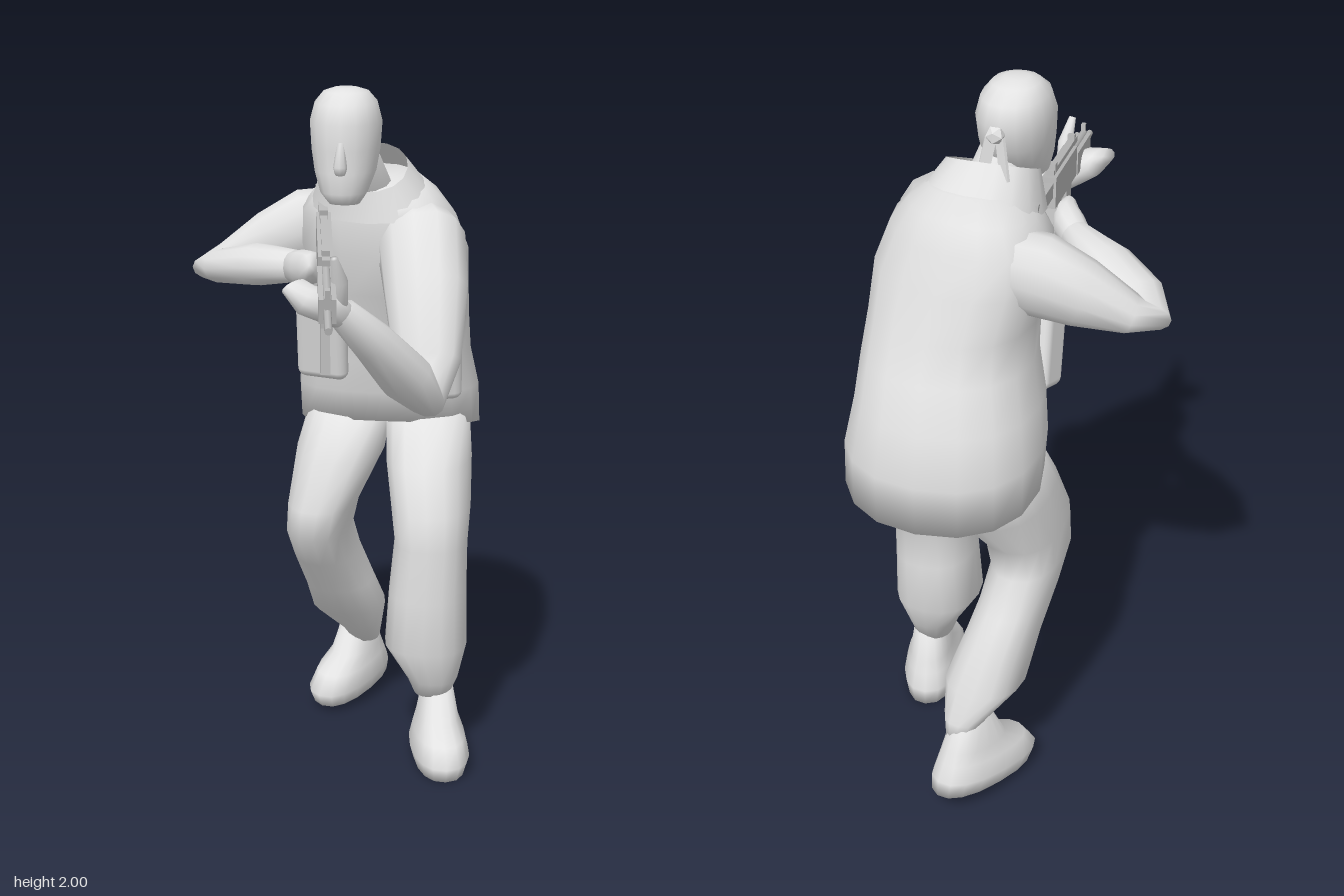
import * as THREE from 'three';
import { RoundedBoxGeometry } from 'three/addons/geometries/RoundedBoxGeometry.js';

const V = (x, y, z) => new THREE.Vector3(x, y, z);
const cloth = new THREE.MeshStandardMaterial({ color: 0xe2e2e2, side: THREE.DoubleSide });
cloth.name = 'light grey';
const metal = new THREE.MeshStandardMaterial({ color: 0xb8b8b8 });
metal.name = 'mid grey';

// Skins a list of equal-length rings (counter-clockwise about the path), with optional end caps
function skin(rings, caps = true) {
  const n = rings[0].length, pos = [], idx = [];
  rings.forEach(r => r.forEach(p => pos.push(p.x, p.y, p.z)));
  for (let i = 0; i < rings.length - 1; i++)
    for (let j = 0; j < n; j++) {
      const a = i * n + j, b = i * n + (j + 1) % n;
      idx.push(a, b, b + n, a, b + n, a + n);
    }
  if (caps) [0, rings.length - 1].forEach(k => {
    const c = rings[k].reduce((s, p) => s.add(p), V(0, 0, 0)).divideScalar(n);
    const ci = pos.length / 3;
    pos.push(c.x, c.y, c.z);
    for (let j = 0; j < n; j++) {
      const a = k * n + j, b = k * n + (j + 1) % n;
      if (k) idx.push(ci, a, b); else idx.push(ci, b, a);
    }
  });
  const g = new THREE.BufferGeometry();
  g.setAttribute('position', new THREE.Float32BufferAttribute(pos, 3));
  g.setIndex(idx);
  g.computeVertexNormals();
  return g;
}
const bend = (v, e) => Math.sign(v) * Math.pow(Math.abs(v), e);

// Level rings from bottom to top: [y, xMin, xMax, zFront, zBack, tilt, twist]
function stack(rows, e = 0.85, caps = true, n = 16) {
  return skin(rows.map(([y, x0, x1, zf, zb, tilt = 0, twist = 0]) =>
    Array.from({ length: n }, (_, j) => {
      const a = j / n * Math.PI * 2;
      const dx = bend(Math.sin(a), e) * (x1 - x0) / 2;
      const dz = bend(Math.cos(a), e) * (zf - zb) / 2;
      return V((x0 + x1) / 2 + dx, y + tilt * dz, (zf + zb) / 2 + dz + twist * dx);
    })), caps);
}

// Rings along a path: [x, y, z, half width, half height]
function limb(rows, e = 0.9, ref = V(0, 1, 0), n = 12) {
  const p = rows.map(r => V(r[0], r[1], r[2]));
  return skin(rows.map((r, i) => {
    const t = p[Math.min(i + 1, p.length - 1)].clone().sub(p[Math.max(i - 1, 0)]).normalize();
    const s = ref.clone().cross(t).normalize(), u = t.clone().cross(s);
    return Array.from({ length: n }, (_, j) => {
      const a = j / n * Math.PI * 2;
      return p[i].clone().addScaledVector(s, bend(Math.cos(a), e) * r[3]).addScaledVector(u, bend(Math.sin(a), e) * r[4]);
    });
  }));
}

function add(group, name, geo, mat, pos, rot) {
  const m = new THREE.Mesh(geo, mat);
  m.name = name;
  if (pos) m.position.set(...pos);
  if (rot) m.rotation.set(...rot);
  group.add(m);
  return m;
}

function buildRifle() {
  const g = new THREE.Group();
  g.name = 'rifle';
  const box = (name, w, h, d, x, y, z, rx = 0) =>
    add(g, name, new THREE.BoxGeometry(w, h, d), metal, [x, y, z], [rx, 0, 0]);
  const rod = (name, r, z0, z1, y) =>
    add(g, name, new THREE.CylinderGeometry(r, r, z1 - z0, 8), metal, [0, y, (z0 + z1) / 2], [Math.PI / 2, 0, 0]);
  rod('barrel', 0.01, 0.3, 0.45, 0);
  rod('gasTube', 0.011, 0.1, 0.33, 0.03);
  box('handguard', 0.045, 0.065, 0.23, 0, 0, 0.21);
  box('receiver', 0.04, 0.085, 0.34, 0, 0.012, -0.08);
  box('topRail', 0.02, 0.016, 0.38, 0, 0.06, -0.04);
  box('rearSight', 0.022, 0.025, 0.03, 0, 0.07, -0.2);
  box('middleSight', 0.02, 0.025, 0.02, 0, 0.07, 0.11);
  box('frontSight', 0.012, 0.06, 0.02, 0, 0.03, 0.325);
  box('stockArm', 0.025, 0.04, 0.2, 0, 0.02, -0.34);
  box('buttPlate', 0.035, 0.1, 0.08, 0, 0, -0.46);
  box('grip', 0.03, 0.11, 0.045, 0, -0.075, -0.18, 0.3);
  box('triggerGuard', 0.012, 0.008, 0.09, 0, -0.06, -0.11);
  box('upperMagazine', 0.026, 0.14, 0.08, 0, -0.1, 0.015, -0.08);
  box('lowerMagazine', 0.026, 0.13, 0.075, 0, -0.225, 0.04, -0.28);
  g.position.set(0.013, 1.58, 0.25);
  g.lookAt(0.158, 1.415, 1.25);
  return g;
}

export function createModel() {
  const man = new THREE.Group();
  man.name = 'crouchingMan';

  // Jacket, leaning forward, with the hem higher at the front and the left shoulder leading
  add(man, 'jacket', stack([
    [0.97, -0.14, 0.4, -0.19, -0.635, 0.24],
    [1.09, -0.145, 0.395, -0.165, -0.647, 0.1],
    [1.21, -0.13, 0.37, -0.14, -0.62],
    [1.32, -0.1, 0.365, -0.12, -0.56],
    [1.42, -0.095, 0.365, -0.07, -0.515, 0, 0.08],
    [1.54, -0.125, 0.365, -0.04, -0.478, 0, 0.16],
    [1.64, -0.12, 0.33, -0.035, -0.44, 0, 0.2],
    [1.695, -0.08, 0.28, -0.045, -0.405, -0.12, 0.2],
    [1.735, -0.03, 0.225, -0.07, -0.345, -0.2, 0.12],
  ], 0.9), cloth);
  add(man, 'collar', stack([
    [1.68, -0.08, 0.27, -0.02, -0.36, -0.25, 0.1],
    [1.775, -0.045, 0.195, -0.03, -0.265, -0.45],
  ], 0.9, false), cloth);

  // Head
  add(man, 'neck', limb([[0.09, 1.64, -0.24, 0.08, 0.08], [0.045, 1.82, -0.1, 0.07, 0.075]], 1, V(0, 0, 1)), cloth);
  add(man, 'head', stack([
    [1.695, -0.01, 0.075, 0.02, -0.06],
    [1.725, -0.037, 0.095, 0.036, -0.11],
    [1.78, -0.057, 0.115, 0.036, -0.18],
    [1.84, -0.068, 0.124, 0.034, -0.22],
    [1.91, -0.073, 0.128, 0.035, -0.235],
    [1.96, -0.06, 0.115, 0.012, -0.215],
    [1.99, -0.035, 0.09, -0.03, -0.17],
    [2.0, -0.005, 0.06, -0.065, -0.13],
  ], 0.95), cloth);
  add(man, 'nose', limb([
    [0.027, 1.78, 0.03, 0.015, 0.012], [0.027, 1.8, 0.035, 0.019, 0.02], [0.027, 1.865, 0.025, 0.01, 0.012],
  ], 1, V(0, 0, 1), 8), cloth);
  add(man, 'knot', new THREE.IcosahedronGeometry(0.026, 0), cloth, [0.035, 1.895, -0.24]);
  [-1, 1].forEach(s => add(man, 'knotTail', new THREE.BoxGeometry(0.03, 0.11, 0.008), cloth,
    [0.035 + s * 0.022, 1.835, -0.25], [0.1, s * 0.5, s * 0.2]));

  // Left arm, supporting the rifle
  add(man, 'leftSleeve', limb([
    [0.2, 1.62, -0.22, 0.085, 0.09], [0.24, 1.575, -0.09, 0.115, 0.125], [0.265, 1.465, 0.04, 0.095, 0.118],
    [0.28, 1.3, 0.16, 0.065, 0.095], [0.275, 1.215, 0.215, 0.055, 0.065], [0.23, 1.285, 0.265, 0.065, 0.078],
    [0.15, 1.4, 0.35, 0.055, 0.06], [0.075, 1.49, 0.41, 0.04, 0.042],
  ], 0.95, V(1, 0, 0.3)), cloth);
  add(man, 'leftHand', limb([
    [0.085, 1.475, 0.4, 0.035, 0.035], [0.04, 1.51, 0.43, 0.05, 0.045],
    [-0.01, 1.53, 0.45, 0.055, 0.04], [-0.045, 1.56, 0.43, 0.045, 0.022],
  ]), cloth);
  add(man, 'leftThumb', limb([
    [0.07, 1.5, 0.42, 0.024, 0.024], [0.075, 1.58, 0.45, 0.022, 0.022], [0.065, 1.645, 0.485, 0.01, 0.01],
  ], 1, V(1, 0, 0)), cloth);

  // Right arm, elbow raised to the side
  add(man, 'rightSleeve', limb([
    [0.0, 1.59, -0.33, 0.1, 0.1], [-0.11, 1.57, -0.325, 0.1, 0.11], [-0.22, 1.525, -0.305, 0.085, 0.09],
    [-0.34, 1.475, -0.28, 0.065, 0.05], [-0.385, 1.455, -0.255, 0.055, 0.035],
    [-0.33, 1.475, -0.19, 0.08, 0.05], [-0.22, 1.5, -0.1, 0.078, 0.06], [-0.1, 1.52, 0.0, 0.045, 0.045],
  ], 0.95), cloth);
  add(man, 'rightHand', limb([
    [-0.12, 1.515, -0.02, 0.038, 0.04], [-0.07, 1.525, 0.045, 0.045, 0.05],
    [-0.045, 1.535, 0.09, 0.04, 0.045], [-0.045, 1.55, 0.13, 0.018, 0.03],
  ]), cloth);

  // Trouser legs, left one forward
  add(man, 'leftTrouserLeg', stack([
    [0.2, 0.235, 0.345, -0.08, -0.2],
    [0.25, 0.215, 0.365, -0.055, -0.215],
    [0.36, 0.145, 0.39, -0.01, -0.275],
    [0.52, 0.155, 0.385, -0.015, -0.275],
    [0.68, 0.17, 0.385, -0.015, -0.27],
    [0.78, 0.155, 0.39, -0.025, -0.35],
    [0.9, 0.13, 0.385, -0.09, -0.5],
    [1.03, 0.12, 0.37, -0.2, -0.58],
  ]), cloth);
  add(man, 'rightTrouserLeg', stack([
    [0.2, 0.0, 0.09, -0.48, -0.61],
    [0.26, -0.03, 0.1, -0.42, -0.61],
    [0.35, -0.11, 0.115, -0.33, -0.58],
    [0.45, -0.125, 0.08, -0.26, -0.555],
    [0.57, -0.15, 0.045, -0.17, -0.5],
    [0.67, -0.165, 0.03, -0.1, -0.44],
    [0.76, -0.16, 0.05, -0.09, -0.44],
    [0.9, -0.145, 0.12, -0.14, -0.54],
    [1.03, -0.11, 0.14, -0.2, -0.58],
  ]), cloth);

  // Boots, the rear one tipped on to its toe
  const boot = stack([
    [0, -0.075, 0.075, 0.165, -0.182],
    [0.045, -0.087, 0.087, 0.182, -0.18],
    [0.095, -0.075, 0.075, 0.14, -0.16],
    [0.13, -0.062, 0.062, 0.06, -0.145],
    [0.22, -0.046, 0.046, 0.005, -0.11],
  ], 0.85);
  add(man, 'leftBoot', boot, cloth, [0.315, 0, -0.09], [0, 0.2, 0]);
  add(man, 'rightBoot', boot, cloth, [-0.003, 0.036, -0.518], [0.12, -0.45, 0]);

  // Belt pouches
  const pouch = new RoundedBoxGeometry(0.15, 0.24, 0.105, 2, 0.025);
  add(man, 'leftPouch', pouch, cloth, [0.275, 1.215, -0.205], [0.24, 0.25, 0]);
  add(man, 'rightPouch', pouch, cloth, [-0.04, 1.28, -0.175], [0.22, -0.2, 0]);

  man.add(buildRifle());
  return man;
}
